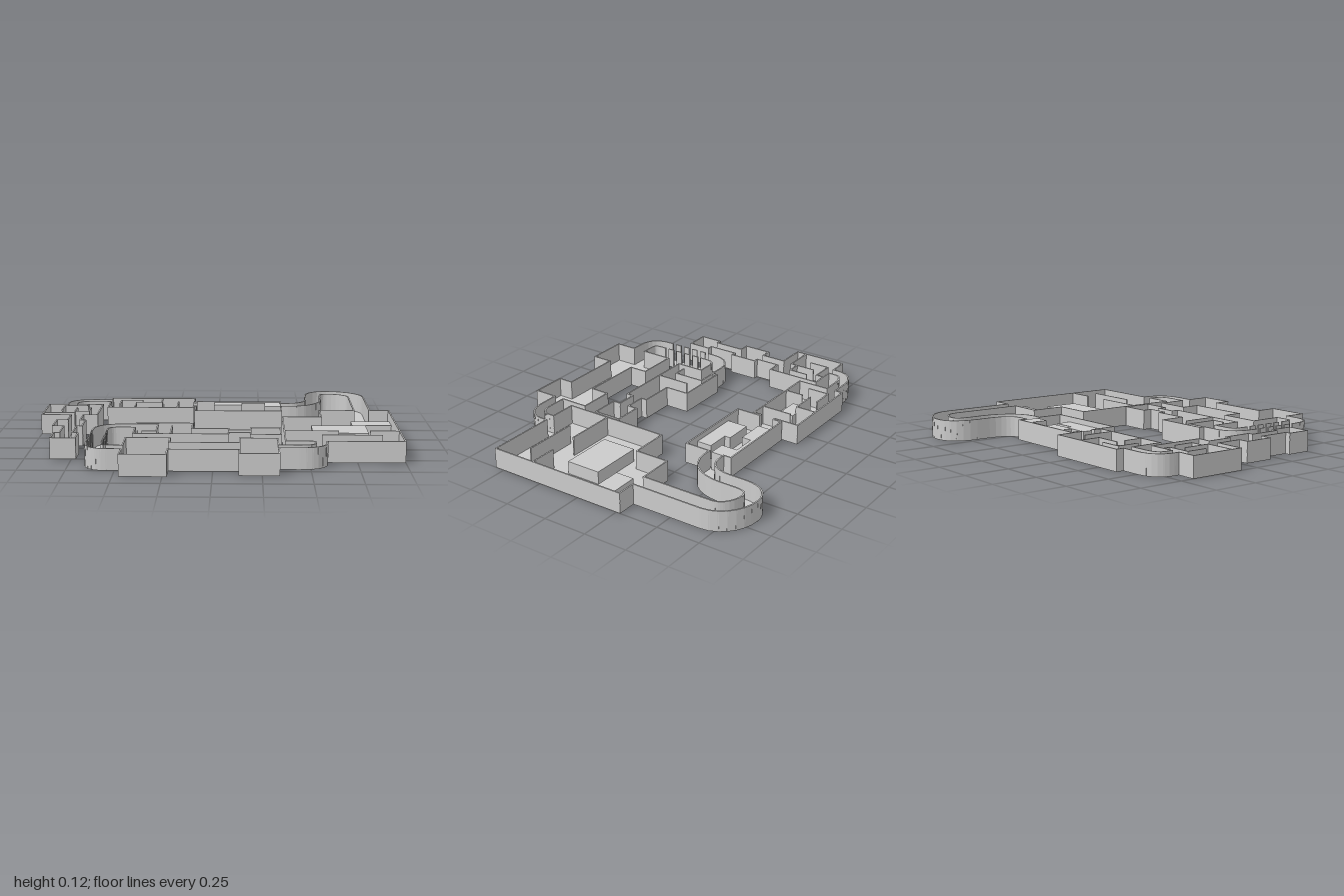
import * as THREE from 'three';
import { mergeGeometries } from 'three/addons/utils/BufferGeometryUtils.js';

const H = 0.115, T = 0.008, FLOOR = 0.006;
const material = new THREE.MeshStandardMaterial({ color: 0xcccccc, flatShading: true, side: THREE.DoubleSide });

// One upright wall between two plan points [x, z]
function wallGeometry(a, b, h = H, t = T) {
  const dx = b[0] - a[0], dz = b[1] - a[1];
  const g = new THREE.BoxGeometry(Math.hypot(dx, dz) + t * 0.9, h, t);
  g.rotateY(-Math.atan2(dz, dx));
  return g.translate((a[0] + b[0]) / 2, h / 2, (a[1] + b[1]) / 2);
}

// Thin slab from a plan outline
function slabGeometry(points, h = FLOOR) {
  const shape = new THREE.Shape(points.map(([x, z]) => new THREE.Vector2(x, -z)));
  return new THREE.ExtrudeGeometry(shape, { depth: h, bevelEnabled: false }).rotateX(-Math.PI / 2);
}

function addMesh(group, name, geometry) {
  const mesh = new THREE.Mesh(geometry, material);
  mesh.name = name;
  group.add(mesh);
}

const rect = (x0, x1, z0, z1) => [[x0, z0], [x1, z0], [x1, z1], [x0, z1]];

// Floor and outer walls; doors are [x, z, width] gaps in the outline
function addRoom(group, name, outline, doors = []) {
  const walls = [];
  outline.forEach((a, i) => {
    const b = outline[(i + 1) % outline.length];
    const len = Math.hypot(b[0] - a[0], b[1] - a[1]);
    const d = [(b[0] - a[0]) / len, (b[1] - a[1]) / len];
    const at = (t) => [a[0] + d[0] * t, a[1] + d[1] * t];
    let start = 0;
    doors
      .map(([x, z, w]) => ({ t: (x - a[0]) * d[0] + (z - a[1]) * d[1], off: (x - a[0]) * d[1] - (z - a[1]) * d[0], w }))
      .filter((c) => Math.abs(c.off) < 0.006 && c.t > 0 && c.t < len)
      .sort((p, q) => p.t - q.t)
      .forEach((c) => {
        if (c.t - c.w / 2 - start > 0.004) walls.push(wallGeometry(at(start), at(c.t - c.w / 2)));
        start = c.t + c.w / 2;
      });
    if (len - start > 0.004) walls.push(wallGeometry(at(start), at(len)));
  });
  addMesh(group, name + 'Floor', slabGeometry(outline));
  addMesh(group, name + 'Walls', mergeGeometries(walls));
}

// Curved passage following a plan path; skip(i) leaves a wall segment open
function addPassage(group, name, path, width, skip = () => false) {
  const pts = path.getPoints(7);
  const side = (s) => pts.map((p, i) => {
    const q = pts[Math.max(i - 1, 0)], r = pts[Math.min(i + 1, pts.length - 1)];
    const n = new THREE.Vector2(q.y - r.y, r.x - q.x).normalize().multiplyScalar(s * width / 2);
    return [p.x + n.x, p.y + n.y];
  });
  const left = side(1), right = side(-1), walls = [];
  for (let i = 0; i < pts.length - 1; i++) {
    if (skip(pts[i], pts[i + 1], i)) continue;
    walls.push(wallGeometry(left[i], left[i + 1]), wallGeometry(right[i], right[i + 1]));
  }
  addMesh(group, name + 'Floor', slabGeometry([...left, ...right.reverse()]));
  addMesh(group, name + 'Walls', mergeGeometries(walls));
}

// Interior partitions, each a polyline of plan points
function addPartitions(group, name, lines) {
  const walls = lines.flatMap((l) => l.slice(1).map((p, i) => wallGeometry(l[i], p)));
  addMesh(group, name, mergeGeometries(walls));
}

export function createModel() {
  const model = new THREE.Group();
  model.name = 'floorPlan';

  // West rooms and their straight corridors
  addRoom(model, 'westRoom', rect(-0.996, -0.68, -0.42, -0.11), [[-0.86, -0.42, 0.055], [-0.795, -0.11, 0.07]]);
  addRoom(model, 'westCorridor', rect(-0.83, -0.76, -0.11, 0.035), [[-0.795, -0.11, 0.07], [-0.795, 0.035, 0.07]]);
  addRoom(model, 'westSmallRoom', rect(-0.89, -0.73, 0.035, 0.195), [[-0.795, 0.035, 0.07], [-0.795, 0.195, 0.07]]);
  addRoom(model, 'westEndCorridor', rect(-0.83, -0.76, 0.195, 0.37), [[-0.795, 0.195, 0.07], [-0.795, 0.37, 0.07]]);
  addRoom(model, 'westEndRoom', rect(-0.86, -0.73, 0.37, 0.5), [[-0.795, 0.37, 0.07]]);
  addPartitions(model, 'westRoomPartitions', [
    [[-0.9, -0.26], [-0.9, -0.375], [-0.765, -0.375], [-0.765, -0.42]],
    [[-0.996, -0.17], [-0.82, -0.17], [-0.82, -0.32]],
    [[-0.82, -0.21], [-0.74, -0.21], [-0.74, -0.32]],
  ]);

  // North rooms
  addRoom(model, 'northRoom', rect(-0.64, -0.14, -0.615, -0.335), [[-0.64, -0.543, 0.055], [-0.14, -0.425, 0.09]]);
  addRoom(model, 'northLink', rect(-0.14, -0.125, -0.47, -0.38), [[-0.14, -0.425, 0.09], [-0.125, -0.425, 0.09]]);
  addRoom(model, 'northEastRoom', rect(-0.125, 0.375, -0.52, -0.24), [[-0.125, -0.425, 0.09], [0.375, -0.43, 0.09]]);
  addPartitions(model, 'northRoomPartitions', [
    [[-0.58, -0.435], [-0.58, -0.557], [-0.455, -0.557]],
    [[-0.485, -0.495], [-0.335, -0.495], [-0.335, -0.615]],
    [[-0.235, -0.51], [-0.235, -0.335]],
    [[-0.485, -0.44], [-0.485, -0.335]],
  ]);
  addMesh(model, 'northRoomBlock', slabGeometry(rect(-0.43, -0.29, -0.495, -0.415), 0.075));
  addMesh(model, 'northEastBackLedge', slabGeometry([[-0.02, -0.52], [0.375, -0.52], [0.375, -0.4],
    [0.28, -0.4], [0.28, -0.495], [0.145, -0.495], [0.145, -0.44], [-0.02, -0.44]], 0.11));
  addMesh(model, 'northEastFrontLedge', slabGeometry([[-0.02, -0.365], [0.145, -0.365], [0.145, -0.33],
    [0.28, -0.33], [0.28, -0.24], [-0.02, -0.24]], 0.085));

  // East hall
  addRoom(model, 'eastHall', [[0.595, -0.27], [0.996, -0.27], [0.996, 0.55], [0.375, 0.55], [0.375, -0.075], [0.595, -0.075]],
    [[0.84, -0.27, 0.09], [0.56, 0.55, 0.06]]);
  addPartitions(model, 'eastHallPartitions', [
    [[0.375, 0.295], [0.665, 0.295]], [[0.84, 0.295], [0.996, 0.295]], [[0.575, 0.4], [0.89, 0.4]],
  ]);
  addMesh(model, 'eastHallPlatform', slabGeometry(rect(0.535, 0.84, -0.01, 0.19), 0.078));
  addMesh(model, 'eastHallSideBlock', slabGeometry(rect(0.77, 0.996, -0.185, -0.075), 0.065));

  // South hall with wider ends
  addRoom(model, 'southHall', [[-0.465, 0.485], [-0.23, 0.485], [-0.23, 0.59], [0.135, 0.59], [0.135, 0.485], [0.335, 0.485],
    [0.335, 0.835], [0.135, 0.835], [0.135, 0.75], [-0.23, 0.75], [-0.23, 0.865], [-0.465, 0.865]],
  [[0.335, 0.675, 0.06], [-0.465, 0.705, 0.08]]);

  // Middle rooms
  addRoom(model, 'middleRoom', [[-0.435, 0.11], [-0.125, 0.11], [-0.125, 0.25], [0.075, 0.25], [0.075, 0.385], [-0.435, 0.385]],
    [[-0.435, 0.183, 0.08], [0.075, 0.315, 0.06]]);
  addRoom(model, 'middleCorridor', rect(0.075, 0.195, 0.285, 0.345), [[0.075, 0.315, 0.06], [0.195, 0.315, 0.06]]);
  addRoom(model, 'middleEndRoom', rect(0.195, 0.355, 0.23, 0.39), [[0.195, 0.315, 0.06]]);
  addPartitions(model, 'middleRoomPartitions', [
    [[-0.435, 0.14], [-0.315, 0.14], [-0.315, 0.32], [-0.39, 0.32]],
    [[-0.235, 0.19], [-0.235, 0.385]],
  ]);

  // Curved passages
  const northWest = new THREE.Path().moveTo(-0.86, -0.42).lineTo(-0.86, -0.45);
  northWest.quadraticCurveTo(-0.86, -0.543, -0.74, -0.543).lineTo(-0.64, -0.543);
  addPassage(model, 'northWestPassage', northWest, 0.055);

  const northEast = new THREE.Path().moveTo(0.375, -0.43).lineTo(0.42, -0.43);
  northEast.bezierCurveTo(0.52, -0.43, 0.575, -0.51, 0.575, -0.62).lineTo(0.575, -0.7);
  northEast.bezierCurveTo(0.575, -0.8, 0.62, -0.825, 0.67, -0.825);
  northEast.bezierCurveTo(0.76, -0.825, 0.84, -0.76, 0.84, -0.68).lineTo(0.84, -0.27);
  addPassage(model, 'northEastPassage', northEast, 0.09);

  const southEast = new THREE.Path().moveTo(0.56, 0.55).lineTo(0.56, 0.58);
  southEast.quadraticCurveTo(0.56, 0.675, 0.44, 0.675).lineTo(0.335, 0.675);
  addPassage(model, 'southEastPassage', southEast, 0.06);

  // South-west passage with open slots along its straight run
  const southWest = new THREE.Path().moveTo(-0.465, 0.705).lineTo(-0.54, 0.705);
  southWest.quadraticCurveTo(-0.62, 0.705, -0.62, 0.62);
  for (let i = 1; i <= 11; i++) southWest.lineTo(-0.62, 0.62 - i * 0.03);
  southWest.quadraticCurveTo(-0.62, 0.183, -0.52, 0.183).lineTo(-0.435, 0.183);
  addPassage(model, 'southWestPassage', southWest, 0.08, (p, q, i) =>
    Math.abs(p.x + 0.62) < 1e-4 && Math.abs(q.x + 0.62) < 1e-4 && i % 2 === 1);

  return model;
}
